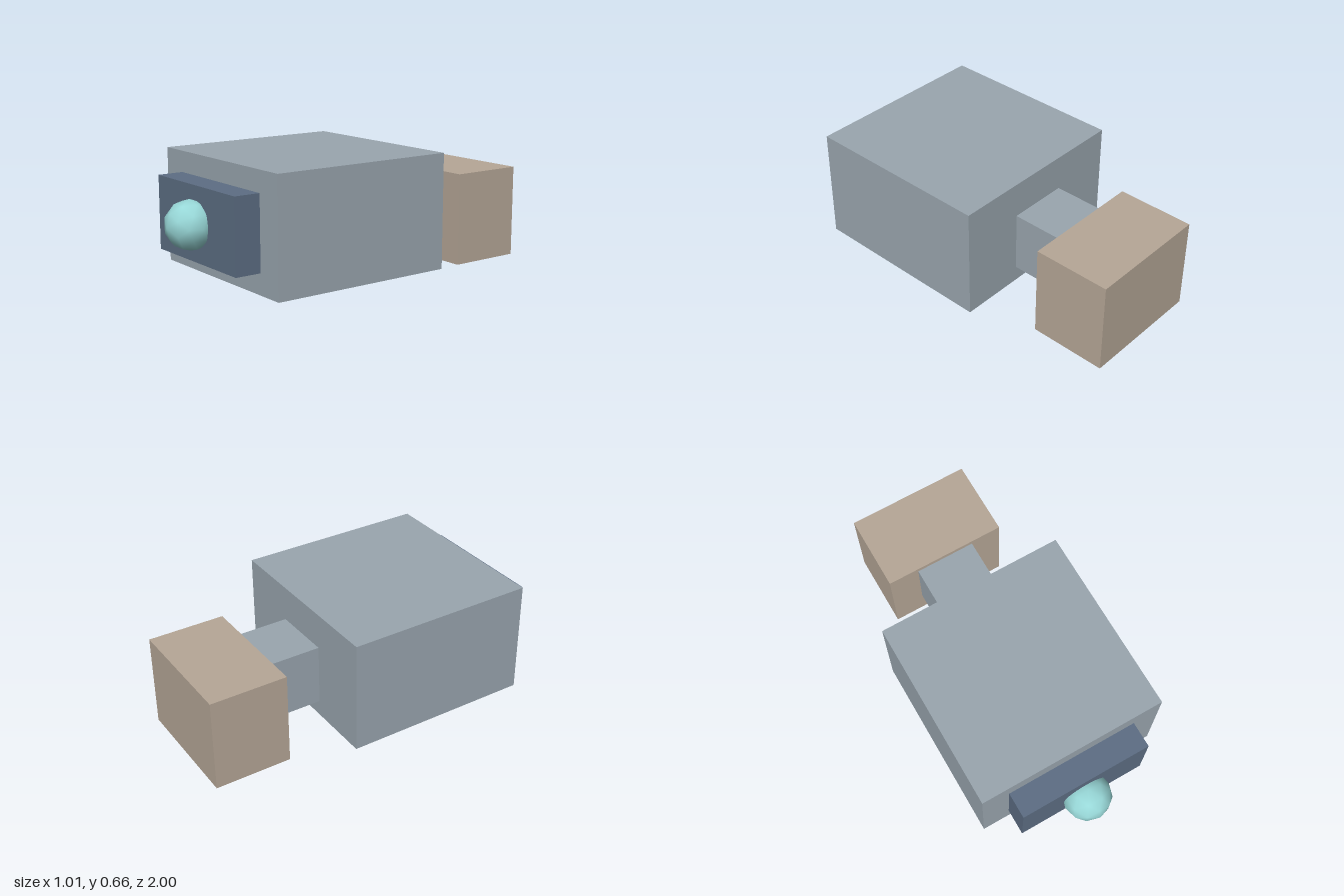
import * as THREE from 'three';

const material = (name, color) => {
  const m = new THREE.MeshStandardMaterial({ color });
  m.name = name;
  return m;
};

export function createModel() {
  const model = new THREE.Group();
  const grey = material('blue grey', 0x9aa6af);
  const slate = material('dark slate', 0x5d6e84);
  const tan = material('warm tan', 0xb6a797);
  const aqua = material('pale aqua', 0x98d8d8);

  // Box centred on x = 0, given its width and its y and z ranges
  const box = (name, mat, width, y0, y1, z0, z1) => {
    const mesh = new THREE.Mesh(new THREE.BoxGeometry(width, y1 - y0, z1 - z0), mat);
    mesh.name = name;
    mesh.position.set(0, (y0 + y1) / 2, (z0 + z1) / 2);
    model.add(mesh);
  };

  box('body', grey, 1.014, 0.059, 0.663, -0.31, 0.705);
  box('frontPanel', slate, 0.716, 0.168, 0.552, 0.705, 0.842);
  box('rearNeck', grey, 0.326, 0.145, 0.472, -0.59, -0.31);
  box('rearBlock', tan, 0.662, 0, 0.498, -1, -0.59);

  // Faceted ball half sunk in the front panel
  const ball = new THREE.Mesh(new THREE.IcosahedronGeometry(0.128, 1), aqua);
  ball.name = 'frontBall';
  ball.position.set(0, 0.36, 0.872);
  model.add(ball);

  return model;
}
